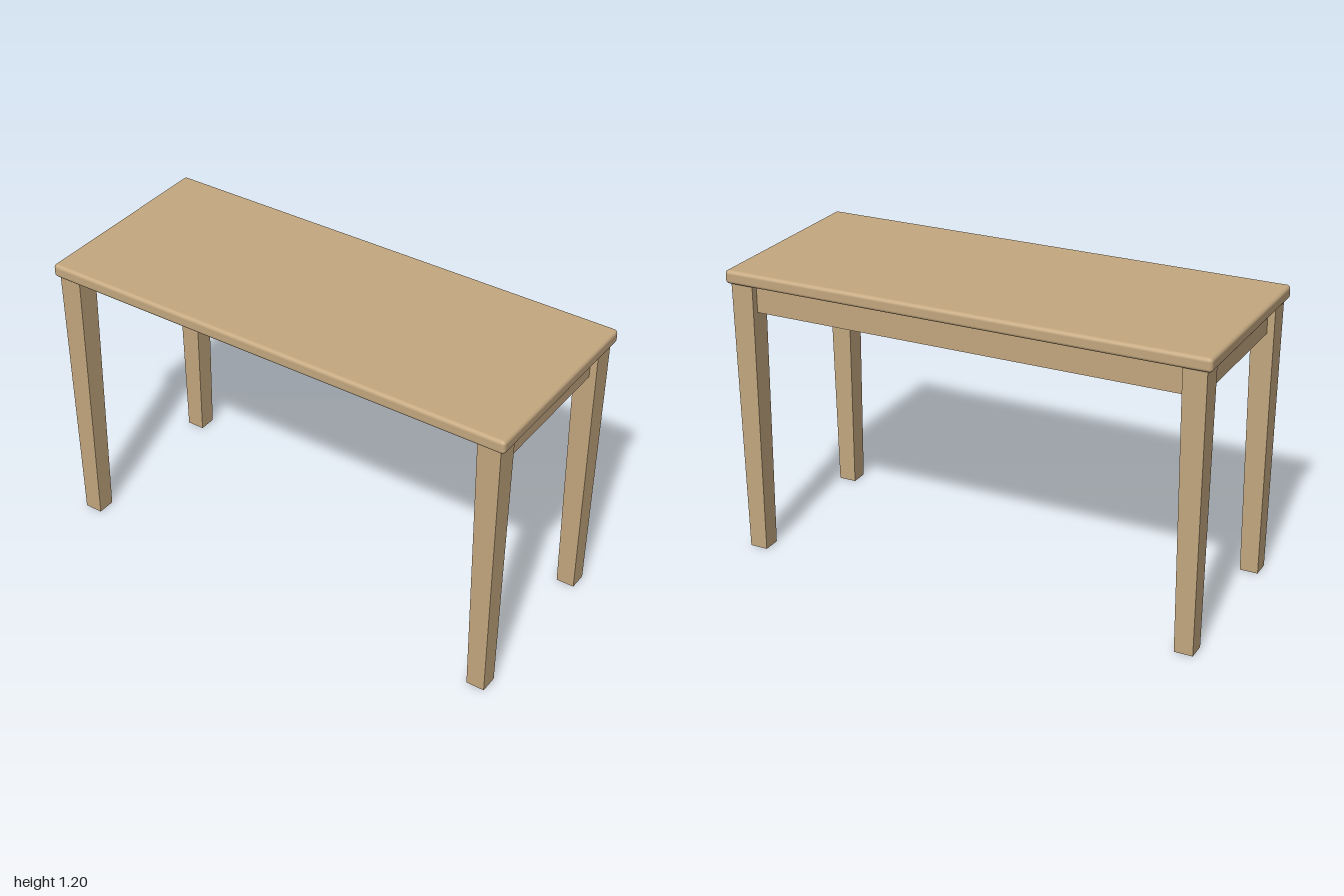
import * as THREE from 'three';
import { RoundedBoxGeometry } from 'three/addons/geometries/RoundedBoxGeometry.js';

const TOP_Y = 1.2, UNDER_Y = 1.145, LEG_X = 0.933, LEG_Z = 0.352;
const LEG_TOP = 0.094, LEG_FOOT = 0.075;
const APRON_H = 0.115, APRON_T = 0.035;

export function createModel() {
  const group = new THREE.Group();
  const wood = new THREE.MeshStandardMaterial({ color: 0xc4a880 });

  const add = (name, geometry, x, y, z) => {
    const mesh = new THREE.Mesh(geometry, wood);
    mesh.name = name;
    mesh.position.set(x, y, z);
    group.add(mesh);
  };

  // Table top with softly rounded edges
  const topH = TOP_Y - UNDER_Y;
  add('tableTop', new RoundedBoxGeometry(2, topH, 0.83, 4, 0.015), 0, UNDER_Y + topH / 2, 0);

  // Square leg, narrowing evenly towards the foot
  const leg = new THREE.CylinderGeometry(LEG_TOP * Math.SQRT1_2, LEG_FOOT * Math.SQRT1_2, UNDER_Y, 4)
    .rotateY(Math.PI / 4)
    .toNonIndexed();
  leg.computeVertexNormals();
  for (const [side, sx] of [['Left', 1], ['Right', -1]]) {
    for (const [end, sz] of [['front', 1], ['back', -1]]) {
      add(`${end}${side}Leg`, leg, sx * LEG_X, UNDER_Y / 2, sz * LEG_Z);
    }
  }

  // Aprons centred on the legs: both ends and the back, open at the front
  const apronY = UNDER_Y - APRON_H / 2;
  const spanX = 2 * LEG_X - LEG_TOP + 0.01, spanZ = 2 * LEG_Z - LEG_TOP + 0.01;
  add('backApron', new THREE.BoxGeometry(spanX, APRON_H, APRON_T), 0, apronY, -LEG_Z);
  for (const [side, sx] of [['left', 1], ['right', -1]]) {
    add(`${side}Apron`, new THREE.BoxGeometry(APRON_T, APRON_H, spanZ), sx * LEG_X, apronY, 0);
  }

  return group;
}
